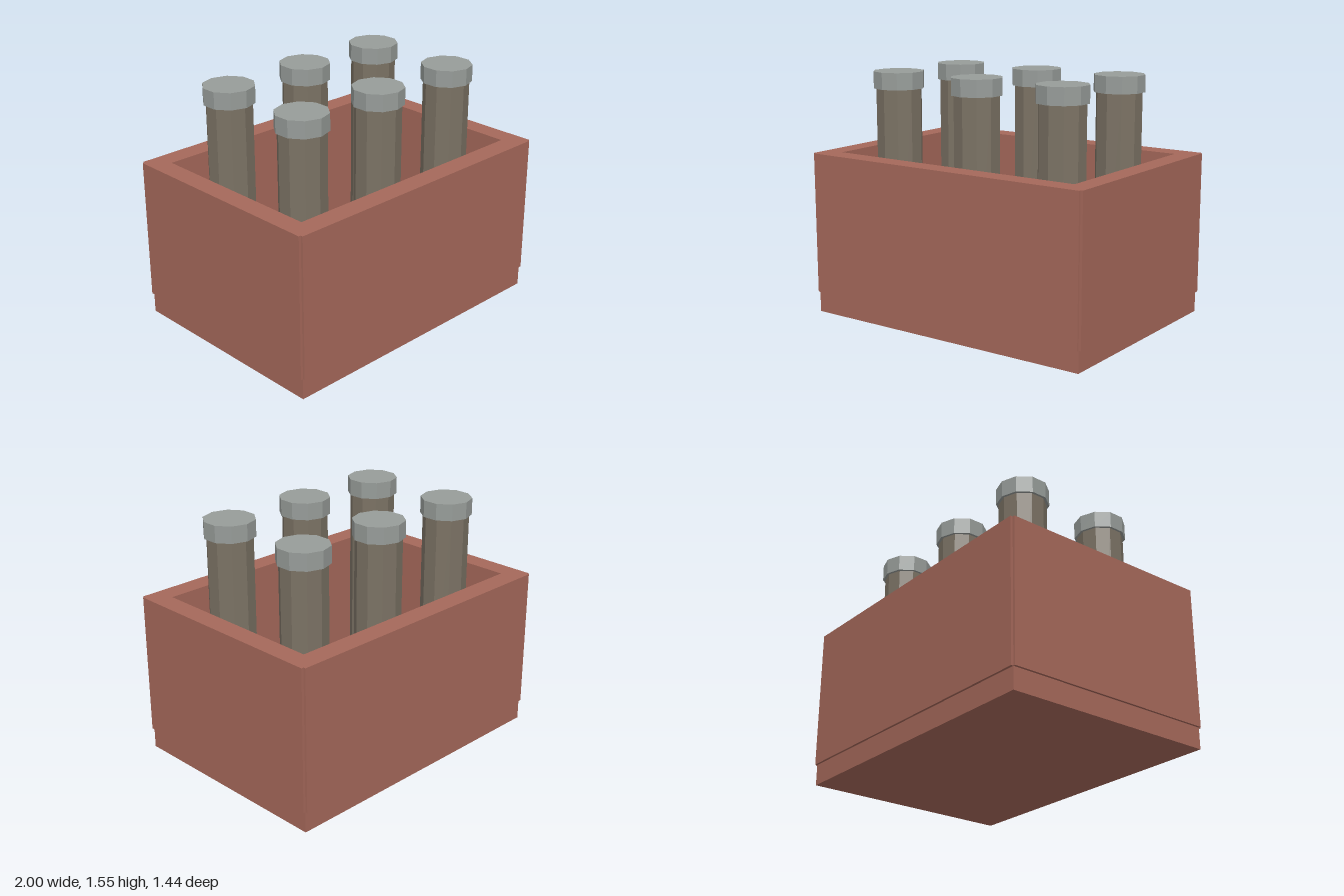
import * as THREE from 'three';

const BRICK = 0xa5685a, BROWN = 0x7b7264, STEEL = 0x979c99;

function part(name, geometry, color, x = 0, y = 0, z = 0) {
  const material = new THREE.MeshStandardMaterial({ color, flatShading: true });
  const mesh = new THREE.Mesh(geometry, material);
  mesh.name = name;
  mesh.position.set(x, y, z);
  return mesh;
}

export function createModel() {
  const model = new THREE.Group();
  model.name = 'bottleCrate';

  const X = 1, Z = 0.72, notch = 0.015; // outer half sizes and corner notch
  const innerX = 0.87, innerZ = 0.585;
  const floorY = 0.135, rimY = 1.04;

  // Base slab, slightly inset from the walls
  model.add(part('base', new THREE.BoxGeometry(2 * (X - notch), floorY, 2 * (Z - notch)), BRICK, 0, floorY / 2, 0));

  // Four walls as one ring with small notches where the boards meet
  const outline = [];
  const x = X - notch, z = Z - notch;
  for (const [sx, sz] of [[1, 1], [-1, 1], [-1, -1], [1, -1]]) {
    const corner = [[X, z], [x, z], [x, Z]];
    if (sx * sz < 0) corner.reverse();
    for (const [cx, cz] of corner) outline.push(new THREE.Vector2(sx * cx, sz * cz));
  }
  const ring = new THREE.Shape(outline);
  ring.holes.push(new THREE.Path([
    new THREE.Vector2(innerX, innerZ), new THREE.Vector2(innerX, -innerZ),
    new THREE.Vector2(-innerX, -innerZ), new THREE.Vector2(-innerX, innerZ),
  ]));
  const walls = new THREE.ExtrudeGeometry(ring, { depth: rimY - floorY, bevelEnabled: false });
  walls.rotateX(-Math.PI / 2);
  model.add(part('walls', walls, BRICK, 0, floorY, 0));

  // Six ten-sided posts with caps, standing in two rows of three
  const capY = 1.443, topY = 1.55;
  const postGeometry = new THREE.CylinderGeometry(0.146, 0.146, capY - floorY, 10);
  const capGeometry = new THREE.CylinderGeometry(0.162, 0.162, topY - capY, 10);
  for (const px of [-0.615, 0, 0.615]) {
    for (const pz of [-0.32, 0.32]) {
      const bottle = new THREE.Group();
      bottle.name = 'bottle';
      bottle.position.set(px, 0, pz);
      bottle.add(part('bottleBody', postGeometry, BROWN, 0, (floorY + capY) / 2, 0));
      bottle.add(part('bottleCap', capGeometry, STEEL, 0, (capY + topY) / 2, 0));
      model.add(bottle);
    }
  }
  return model;
}
